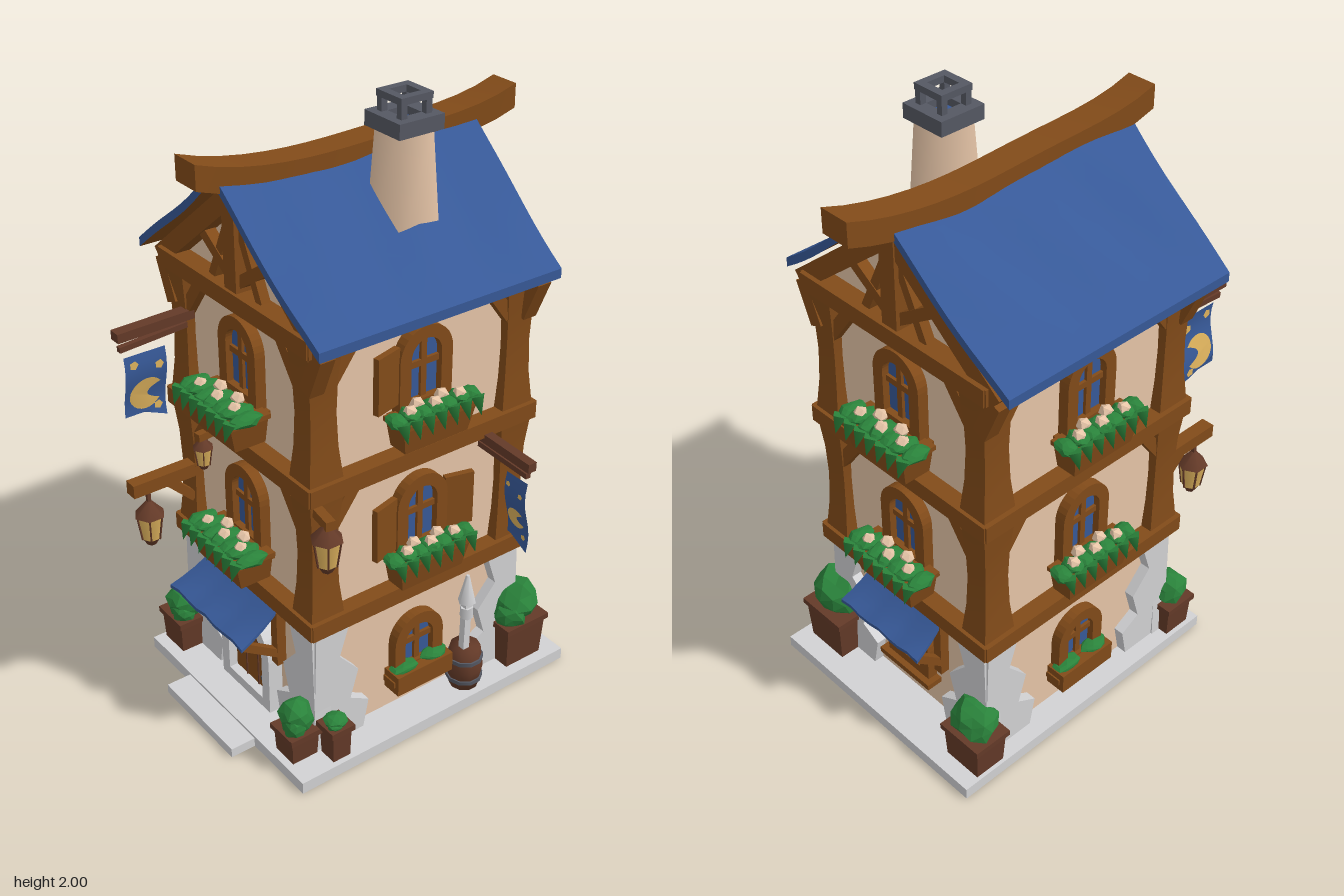
import * as THREE from 'three';

const mat = (name, color, side = THREE.FrontSide) => {
  const m = new THREE.MeshStandardMaterial({ color, side });
  m.name = name;
  return m;
};
const cream = mat('cream plaster', 0xf2cfb0), wood = mat('timber', 0x824b19);
const darkWood = mat('dark wood', 0x643a28), blue = mat('blue cloth and slate', 0x375998, THREE.DoubleSide);
const stone = mat('pale stone', 0xd2d2d4), iron = mat('iron grey', 0x555863);
const green = mat('leaf green', 0x2a833b), gold = mat('gold', 0xe0b45e, THREE.DoubleSide);

const CX = -0.065, CZ = -0.04, HX = 0.325, HZ = 0.37;
const V = (x, y, z) => new THREE.Vector3(x, y, z);

function add(parent, name, geo, m, x = 0, y = 0, z = 0) {
  const mesh = new THREE.Mesh(geo, m);
  mesh.name = name;
  mesh.position.set(x, y, z);
  parent.add(mesh);
  return mesh;
}
const box = (p, name, m, w, h, d, x, y, z) => add(p, name, new THREE.BoxGeometry(w, h, d), m, x, y, z);

// Timber running from a to b
function bar(p, name, m, a, b, w, h = w) {
  const mesh = new THREE.Mesh(new THREE.BoxGeometry(w, h, a.distanceTo(b)), m);
  mesh.name = name;
  mesh.position.copy(a).lerp(b, 0.5);
  mesh.lookAt(b);
  p.add(mesh);
}
function group(parent, name, x = 0, y = 0, z = 0, ry = 0) {
  const g = new THREE.Group();
  g.name = name;
  g.position.set(x, y, z);
  g.rotation.y = ry;
  parent.add(g);
  return g;
}
// Move every vertex by a rule
function bend(geo, rule) {
  const p = geo.attributes.position, v = V(0, 0, 0);
  for (let i = 0; i < p.count; i++) {
    rule(v.fromBufferAttribute(p, i));
    p.setXYZ(i, v.x, v.y, v.z);
  }
  geo.computeVertexNormals();
  return geo;
}
const flat = (pts) => new THREE.Shape(pts.map(([x, y]) => new THREE.Vector2(x, y)));
const extrude = (shape, depth) => new THREE.ExtrudeGeometry(shape, { depth, bevelEnabled: false, curveSegments: 8 });

// Upright outline with a rounded top
function arch(w, h, y0 = 0, Type = THREE.Shape) {
  const s = new Type(), r = w / 2;
  s.moveTo(-r, y0);
  s.lineTo(r, y0);
  s.lineTo(r, h - r);
  s.absarc(0, h - r, r, 0, Math.PI, false);
  s.lineTo(-r, y0);
  return s;
}
function archFrame(w, h, t) {
  const s = arch(w, h);
  s.holes.push(arch(w - 2 * t, h - t, t, THREE.Path));
  return s;
}

function bush(p, x, y, z, rx, ry, rz) {
  const geo = bend(new THREE.IcosahedronGeometry(1, 1), (v) =>
    v.multiplyScalar(1 + 0.14 * Math.sin(7 * v.x + 5 * v.y + x * 40) * Math.cos(6 * v.z + y * 30)));
  geo.scale(rx, ry, rz);
  add(p, 'foliage', geo, green, x, y, z);
}

function flowerBox(p, y, w, d) {
  const g = group(p, 'flowerBox', 0, y, 0);
  add(g, 'trough', bend(new THREE.BoxGeometry(w, 0.1, d), (v) => {
    if (v.y < 0) { v.x *= 0.85; v.z = v.z * 0.8 - d * 0.1; }
  }), wood, 0, 0, 0.02 + d / 2);
  box(g, 'troughRim', wood, w + 0.01, 0.015, d + 0.01, 0, 0.045, 0.02 + d / 2);
  for (let i = 0; i < 7; i++) {
    const x = (i / 6 - 0.5) * w;
    bush(g, x, 0.058 + 0.006 * (i % 2), 0.02 + d * 0.6, 0.03, 0.02, d * 0.42);
    const leaf = add(g, 'droopingLeaf', new THREE.ConeGeometry(0.025, 0.06, 4), green, x, 0.036, 0.03 + d);
    leaf.rotation.x = Math.PI - 0.35;
    if (i % 6) add(g, 'flower', new THREE.IcosahedronGeometry(0.023, 0), cream, x, 0.074, 0.02 + d * (0.35 + 0.3 * (i % 2)));
  }
}

function archWindow(p, y, w, h) {
  const g = group(p, 'window', 0, y, 0);
  add(g, 'windowFrame', extrude(archFrame(w, h, 0.04), 0.035), wood);
  add(g, 'glass', extrude(arch(w - 0.04, h - 0.02, 0.02), 0.008), blue, 0, 0, 0.004);
  box(g, 'mullion', wood, 0.02, h - 0.03, 0.012, 0, h / 2, 0.016);
  box(g, 'transom', wood, w - 0.04, 0.02, 0.012, 0, h * 0.55, 0.016);
  box(g, 'sill', wood, w + 0.04, 0.02, 0.06, 0, 0, 0.025);
}

function awning(p, w, d) {
  const g = group(p, 'awning');
  add(g, 'awningCloth', bend(new THREE.BoxGeometry(w, 0.012, d, 8, 1, 4), (v) => {
    const t = v.z / d + 0.5;
    v.x *= 0.92 + 0.1 * t;
    v.y += 0.485 - 0.09 * t - 0.01 * Math.sin(Math.PI * t) + 0.006 * t * Math.cos(v.x * 45);
    v.z += 0.012 + d / 2;
  }), blue);
  for (const s of [-1, 1]) {
    bar(g, 'awningStrut', wood, V(s * w * 0.44, 0.29, 0.02), V(s * w * 0.46, 0.39, d - 0.005), 0.026);
    bar(g, 'awningPost', wood, V(s * w * 0.44, 0.26, 0.03), V(s * w * 0.44, 0.46, 0.03), 0.032);
  }
}

function lantern(p, x, y, z, s = 1) {
  const g = group(p, 'lantern', x, y, z);
  g.scale.setScalar(s);
  add(g, 'lanternGlass', new THREE.CylinderGeometry(0.04, 0.028, 0.08, 6).toNonIndexed(), gold);
  add(g, 'lanternRoof', new THREE.CylinderGeometry(0.008, 0.046, 0.045, 6), darkWood, 0, 0.06, 0);
  add(g, 'lanternFoot', new THREE.CylinderGeometry(0.028, 0.014, 0.025, 6), darkWood, 0, -0.05, 0);
  for (let i = 0; i < 6; i++) {
    const a = i * Math.PI / 3, q = (r, h) => V(Math.sin(a) * r, h, Math.cos(a) * r);
    bar(g, 'lanternRib', darkWood, q(0.028, -0.04), q(0.04, 0.04), 0.005);
  }
}

// Hanging cloth with painted moon and spots on both faces
function banner(p, x, y, z, ry, w, h) {
  const g = group(p, 'banner', x, y, z, ry);
  const wave = (v) => { v.z += 0.012 * Math.sin(v.y * 22); };
  add(g, 'cloth', bend(new THREE.PlaneGeometry(w, h, 3, 8), (v) => {
    if (v.y < -h * 0.45) v.y += 0.4 * (w / 2 - v.x);
    wave(v);
  }), blue);
  const moon = new THREE.Shape();
  moon.absarc(0, 0, w * 0.4, 0.6, 5.7, false);
  moon.quadraticCurveTo(-w * 0.28, 0, w * 0.33, w * 0.226);
  for (const s of [-1, 1]) {
    add(g, 'crescent', bend(new THREE.ShapeGeometry(moon, 10), (v) => { v.y -= 0.02; wave(v); v.z += s * 0.005; }), gold);
    for (const [a, b] of [[-0.3, 0.38], [0.3, 0.3], [0.3, -0.32]]) {
      add(g, 'spot', new THREE.CircleGeometry(w * 0.11, 5), gold, a * w, b * h, 0.012 * Math.sin(b * h * 22) + s * 0.005);
    }
  }
}

function planter(p, x, z, w, d, h, leafH) {
  const g = group(p, 'planter', x, 0.04, z);
  add(g, 'planterBox', bend(new THREE.BoxGeometry(w, h, d), (v) => { if (v.y < 0) { v.x *= 0.9; v.z *= 0.9; } }), darkWood, 0, h / 2, 0);
  box(g, 'planterRim', darkWood, w + 0.015, 0.02, d + 0.015, 0, h - 0.01, 0);
  bush(g, 0, h + leafH * 0.4, 0, w * 0.54, leafH * 0.6, d * 0.54);
  bush(g, w * 0.2, h + leafH * 0.2, d * 0.2, w * 0.35, leafH * 0.45, d * 0.35);
}

export function createModel() {
  const root = new THREE.Group();
  root.name = 'timberFramedHouse';

  // Paving and walls
  box(root, 'paving', stone, 0.87, 0.04, 1.06, -0.045, 0.02, -0.05);
  box(root, 'frontStep', stone, 0.38, 0.032, 0.16, -0.06, 0.016, 0.485);
  box(root, 'walls', cream, 2 * HX, 1.42, 2 * HZ, CX, 0.75, CZ);
  add(root, 'gableWall', extrude(flat([[-0.36, 0], [0.36, 0], [0, 0.3]]), 2 * HZ - 0.02), cream, CX, 1.45, CZ - HZ + 0.01);

  // Corner posts
  for (const sx of [-1, 1]) for (const sz of [-1, 1]) for (const y of [0.53, 1.0]) {
    add(root, 'cornerPost', bend(new THREE.BoxGeometry(0.085, 0.43, 0.1, 1, 4, 1), (v) => {
      const k = 0.88 + 6.4 * v.y * v.y;
      v.x *= k; v.z *= k;
    }), wood, CX + sx * (HX - 0.01), y + 0.21, CZ + sz * (HZ - 0.015));
  }

  // Four sides: beams, braces, corner stones, windows and flower boxes
  const sides = [['front', 0, HZ, HX, 0.13], ['right', Math.PI / 2, HX, HZ, 0.085],
    ['back', Math.PI, HZ, HX, 0.11], ['left', -Math.PI / 2, HX, HZ, 0.085]];
  for (const [name, ry, dist, half, depth] of sides) {
    const turn = group(root, name + 'Side', CX, 0, CZ, ry);
    const f = group(turn, name + 'Wall', 0, 0, dist);
    for (const y of [0.505, 0.975, 1.445]) box(f, 'floorBeam', wood, 2 * half + 0.1, 0.055, 0.09, 0, y, 0.01);
    for (const s of [-1, 1]) {
      for (const y of [0.95, 1.42]) bar(f, 'brace', wood, V(s * (half - 0.02), y - 0.15, 0.008), V(s * (half - 0.13), y, 0.008), 0.04);
      const q = extrude(flat([[half + 0.04, 0], [half + 0.025, 0.44], [half - 0.1, 0.44], [half - 0.06, 0.32],
        [half - 0.13, 0.24], [half - 0.1, 0.14], [half - 0.17, 0.1], [half - 0.15, 0]].map(([x, y]) => [s * x, y])), 0.06);
      add(f, 'cornerStones', q, stone, 0, 0.04, -0.025);
    }
    for (const y of [0.62, 1.115]) {
      archWindow(f, y, 0.19, 0.27);
      flowerBox(f, y > 1 ? 1.08 : 0.6, 0.27, depth);
    }
    if (name === 'front') continue;
    archWindow(f, 0.16, 0.19, 0.22);
    if (name === 'back') awning(f, 0.35, 0.135);
    else {
      box(f, 'lowerTrough', wood, 0.22, 0.07, 0.07, 0, 0.16, 0.035);
      for (const s of [-1, 1]) bush(f, s * 0.06, 0.2, 0.035, 0.05, 0.015, 0.03);
    }
    if (name === 'right') for (const [s, y] of [[-1, 0.75], [1, 0.75], [-1, 1.25]]) {
      box(f, 'shutter', wood, 0.095, 0.18, 0.02, s * 0.14, y, 0.03).rotation.y = -s * 0.25;
    }
  }

  // Entrance
  const door = group(root, 'entrance', CX, 0.035, CZ + HZ);
  add(door, 'doorSurround', extrude(archFrame(0.27, 0.335, 0.04), 0.05), stone);
  add(door, 'door', extrude(arch(0.2, 0.3), 0.02), wood);
  for (const x of [-0.033, 0.033]) box(door, 'plankGap', darkWood, 0.005, 0.24, 0.006, x, 0.13, 0.021);
  for (const y of [0.08, 0.2]) box(door, 'hinge', iron, 0.04, 0.012, 0.008, 0.07, y, 0.022);
  add(door, 'doorKnob', new THREE.SphereGeometry(0.01, 8, 6), iron, -0.065, 0.13, 0.028);
  awning(group(root, 'frontAwning', CX - 0.01, 0, CZ + HZ), 0.4, 0.17);

  // Roof slabs, rising towards the gables, with timber beneath
  for (const s of [-1, 1]) {
    add(root, 'roofSlope', bend(new THREE.BoxGeometry(1, 0.03, 1, 10, 1, 12), (v) => {
      const t = 0.5 - s * v.x, k = v.z;
      v.x = CX + s * 0.455 * (1 - t);
      v.z = -0.025 + k * (0.85 + 0.04 * t);
      v.y += 1.463 + 0.34 * t - 0.012 * Math.sin(Math.PI * t) + 0.08 * k * k * t
        + 0.009 * Math.sin(k * 17 + t * 4 + s) * Math.sin(t * Math.PI);
    }), [blue, blue, blue, wood, blue, blue]);
  }
  add(root, 'ridgeBeam', bend(new THREE.BoxGeometry(0.1, 0.075, 1.1, 1, 1, 16), (v) => {
    const k = v.z / 1.1;
    v.x += CX - 0.005 + 0.008 * Math.sin(k * 9);
    v.y += 1.785 + 0.06 * k * k + 0.7 * k ** 4;
    v.z -= 0.06;
  }), wood);

  // Gable timbers
  for (const s of [-1, 1]) {
    const z = CZ + s * (HZ + 0.015);
    bar(root, 'kingPost', wood, V(CX, 1.46, z), V(CX, 1.78, z), 0.06);
    for (const e of [-1, 1]) {
      bar(root, 'rafter', wood, V(CX + e * 0.4, 1.43, z), V(CX + e * 0.01, 1.745, z), 0.05, 0.06);
      bar(root, 'gableStrut', wood, V(CX + e * 0.02, 1.5, z), V(CX + e * 0.17, 1.6, z), 0.035);
      bar(root, 'gableStrut', wood, V(CX + e * 0.12, 1.47, z), V(CX + e * 0.025, 1.67, z), 0.03);
      bar(root, 'eaveBracket', wood, V(CX + e * 0.34, 1.3, z), V(CX + e * 0.395, 1.43, z), 0.05);
    }
  }

  // Chimney
  const chimney = group(root, 'chimney', 0.107, 0, -0.095);
  add(chimney, 'stack', new THREE.CylinderGeometry(0.08, 0.108, 0.38, 4).toNonIndexed(), cream, 0, 1.72, 0).rotation.y = Math.PI / 4;
  const ring = (w, t) => {
    const h = w / 2, s = flat([[-h, -h], [h, -h], [h, h], [-h, h]]), i = h - t;
    s.holes.push(new THREE.Path([[-i, -i], [-i, i], [i, i], [i, -i]].map(([x, y]) => new THREE.Vector2(x, y))));
    return s;
  };
  for (const [w, t, y, h] of [[0.155, 0.045, 1.895, 0.045], [0.11, 0.025, 1.98, 0.02]]) {
    add(chimney, 'chimneyCap', extrude(ring(w, t), h), iron, 0, y, 0).rotation.x = -Math.PI / 2;
  }
  for (const x of [-1, 1]) for (const z of [-1, 1]) box(chimney, 'capPost', iron, 0.02, 0.05, 0.02, x * 0.043, 1.96, z * 0.043);
  box(chimney, 'flue', blue, 0.07, 0.008, 0.07, 0, 1.912, 0);

  // Brackets, lanterns and banners
  bar(root, 'lanternArm', wood, V(-0.365, 0.735, 0.34), V(-0.365, 0.735, 0.58), 0.045);
  bar(root, 'armBrace', wood, V(-0.365, 0.63, 0.36), V(-0.365, 0.72, 0.45), 0.03);
  lantern(root, -0.365, 0.58, 0.52, 1.1);
  bar(root, 'lanternHook', darkWood, V(-0.365, 0.66, 0.52), V(-0.365, 0.73, 0.52), 0.012);
  lantern(root, 0.36, 0.825, 0.36, 1.1);
  bar(root, 'lanternArm', wood, V(0.25, 0.92, 0.34), V(0.38, 0.92, 0.36), 0.03);
  lantern(root, -0.27, 0.83, 0.37, 0.75);
  bar(root, 'lanternArm', wood, V(-0.28, 0.9, 0.3), V(-0.27, 0.9, 0.39), 0.025);
  bar(root, 'bannerArm', darkWood, V(-0.345, 1.285, 0.34), V(-0.345, 1.28, 0.6), 0.04, 0.03);
  bar(root, 'bannerRod', darkWood, V(-0.345, 1.25, 0.36), V(-0.345, 1.235, 0.59), 0.018);
  banner(root, -0.345, 1.085, 0.51, Math.PI / 2, 0.14, 0.24);
  bar(root, 'bannerArm', darkWood, V(0.27, 0.945, -0.27), V(0.515, 0.94, -0.265), 0.03, 0.03);
  bar(root, 'bannerRod', darkWood, V(0.28, 0.91, -0.27), V(0.5, 0.905, -0.265), 0.018);
  banner(root, 0.46, 0.755, -0.265, 0, 0.09, 0.25);

  // Planters, barrel and shovel
  planter(root, -0.4, -0.47, 0.15, 0.12, 0.13, 0.1);
  planter(root, 0.275, -0.44, 0.17, 0.16, 0.16, 0.13);
  planter(root, -0.41, 0.39, 0.12, 0.11, 0.12, 0.09);
  planter(root, 0.26, 0.41, 0.1, 0.1, 0.1, 0.1);
  planter(root, 0.34, 0.32, 0.07, 0.07, 0.12, 0.03);
  const barrel = group(root, 'barrel', 0.32, 0.04, -0.21);
  const profile = [[0, 0], [0.048, 0], [0.06, 0.07], [0.05, 0.15], [0, 0.15]].map(([x, y]) => new THREE.Vector2(x, y));
  add(barrel, 'barrelBody', new THREE.LatheGeometry(profile, 10), darkWood);
  for (const y of [0.035, 0.11]) add(barrel, 'barrelHoop', new THREE.CylinderGeometry(0.06, 0.06, 0.014, 10), iron, 0, y, 0);
  bar(root, 'shovelHandle', stone, V(0.325, 0.18, -0.2), V(0.325, 0.4, -0.205), 0.024);
  add(root, 'shovelBlade', new THREE.CylinderGeometry(0.006, 0.03, 0.1, 6), stone, 0.325, 0.42, -0.205);
  add(root, 'shovelSocket', new THREE.CylinderGeometry(0.022, 0.022, 0.04, 6), stone, 0.325, 0.33, -0.205);
  return root;
}
